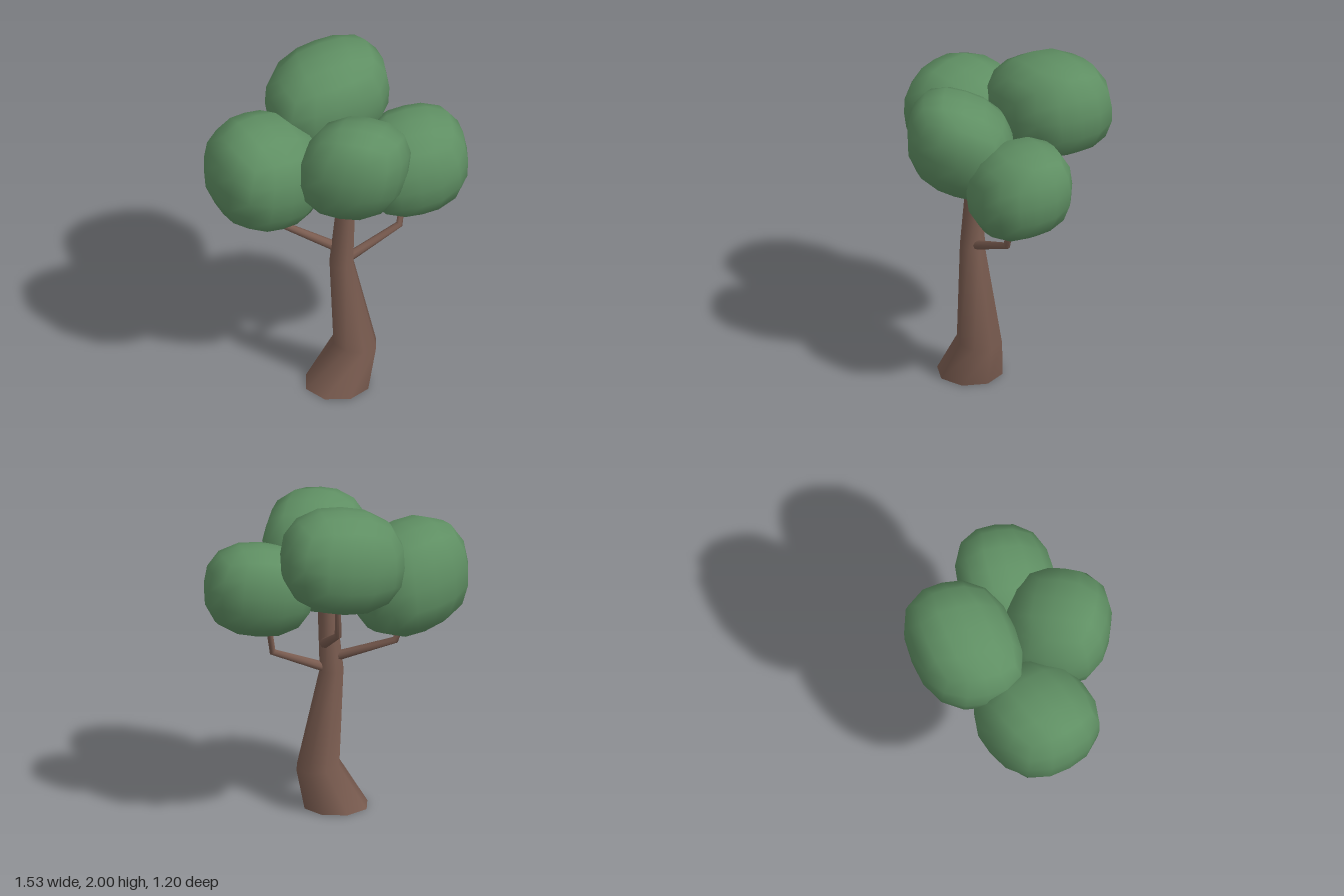
import * as THREE from 'three';
import { mergeVertices, toCreasedNormals } from 'three/addons/utils/BufferGeometryUtils.js';

const V = (p) => new THREE.Vector3(...p);

// Tapered limb: rings mitred along a path, open at the root, capped at the tip
function limbGeometry(points, radii, sides, startNormal) {
  const pts = points.map(V);
  const dirs = pts.slice(1).map((p, i) => p.clone().sub(pts[i]).normalize());
  const pos = [], index = [];
  pts.forEach((p, i) => {
    const n = new THREE.Vector3();
    if (i === 0 && startNormal) n.copy(startNormal);
    else {
      if (i > 0) n.add(dirs[i - 1]);
      if (i < dirs.length) n.add(dirs[i]);
    }
    n.normalize();
    const q = new THREE.Quaternion().setFromUnitVectors(new THREE.Vector3(0, 1, 0), n);
    for (let s = 0; s < sides; s++) {
      const a = (s / sides) * Math.PI * 2;
      const v = new THREE.Vector3(Math.cos(a), 0, Math.sin(a)).multiplyScalar(radii[i]);
      pos.push(...v.applyQuaternion(q).add(p).toArray());
    }
  });
  for (let i = 0; i < dirs.length; i++) {
    for (let s = 0; s < sides; s++) {
      const a = i * sides + s, b = i * sides + (s + 1) % sides;
      index.push(a, a + sides, b, b, a + sides, b + sides);
    }
  }
  const last = dirs.length * sides;
  for (let s = 1; s < sides - 1; s++) index.push(last, last + s + 1, last + s);
  const g = new THREE.BufferGeometry();
  g.setAttribute('position', new THREE.Float32BufferAttribute(pos, 3));
  g.setIndex(index);
  return toCreasedNormals(g, 1.1);
}

// Foliage: a cube swollen towards a sphere, turned, skewed, then sized to its box
function foliageGeometry({ min, max, turn, skew: [xy, yz, xz] }) {
  let g = new THREE.BoxGeometry(2, 2, 2, 4, 4, 4);
  g.deleteAttribute('uv');
  g.deleteAttribute('normal');
  g = mergeVertices(g);
  const p = g.attributes.position, power = 2.5;
  for (let i = 0; i < p.count; i++) {
    const v = new THREE.Vector3().fromBufferAttribute(p, i);
    v.set(...v.toArray().map((c) => Math.tan(c * Math.PI / 4)));
    const len = v.toArray().reduce((sum, c) => sum + Math.abs(c) ** power, 0) ** (1 / power);
    v.divideScalar(len);
    p.setXYZ(i, v.x, v.y, v.z);
  }
  g.rotateX(turn[0]).rotateY(turn[1]).rotateZ(turn[2]);
  g.applyMatrix4(new THREE.Matrix4().set(1, xy, xz, 0, xy, 1, yz, 0, xz, yz, 1, 0, 0, 0, 0, 1));
  g.center();
  const size = g.boundingBox.getSize(new THREE.Vector3());
  const box = new THREE.Box3(V(min), V(max));
  const want = box.getSize(new THREE.Vector3()).divide(size);
  g.scale(want.x, want.y, want.z);
  g.translate(...box.getCenter(new THREE.Vector3()).toArray());
  g.computeVertexNormals();
  return g;
}

export function createModel() {
  const tree = new THREE.Group();
  tree.name = 'tree';
  const bark = new THREE.MeshStandardMaterial({ color: 0x7a5c50, side: THREE.DoubleSide });
  const leaf = new THREE.MeshStandardMaterial({ color: 0x5f8f63 });
  const add = (name, geometry, material) => {
    const mesh = new THREE.Mesh(geometry, material);
    mesh.name = name;
    tree.add(mesh);
  };

  // Bent trunk, flat on the ground
  add('trunk', limbGeometry(
    [[-0.055, 0, 0.17], [0.055, 0.26, 0.173], [-0.028, 0.84, 0.17], [0.003, 1.26, 0.17]],
    [0.195, 0.135, 0.074, 0.056], 8, new THREE.Vector3(0, 1, 0)), bark);

  // Branches, each with one elbow
  const branches = {
    rightBranch: [[-0.02, 0.92, 0.16], [-0.34, 1.06, -0.05], [-0.37, 1.16, -0.07]],
    leftBranch: [[-0.01, 0.85, 0.175], [0.34, 1.0, 0.165], [0.37, 1.17, 0.15]],
    backBranch: [[0.03, 1.025, 0.13], [0.08, 1.2, -0.22], [0.09, 1.41, -0.245]],
  };
  for (const [name, path] of Object.entries(branches)) {
    add(name, limbGeometry(path, [0.03, 0.021, 0.018], 8), bark);
  }

  // Four foliage clumps
  const clumps = {
    rightFoliage: { min: [-0.77, 1.11, -0.39], max: [-0.08, 1.78, 0.29],
      turn: [0.1, 0.2, -0.1], skew: [-0.06, 0, -0.04] },
    frontFoliage: { min: [-0.33, 1.215, -0.05], max: [0.35, 1.89, 0.6],
      turn: [-0.1, -0.65, -0.15], skew: [0, 0.12, 0] },
    leftFoliage: { min: [0.11, 1.125, -0.15], max: [0.765, 1.695, 0.43],
      turn: [0.05, -0.2, 0.1], skew: [0.05, -0.06, 0] },
    backFoliage: { min: [-0.295, 1.38, -0.6], max: [0.455, 2.0, 0.015],
      turn: [0.05, -0.08, 0.12], skew: [0.06, 0, -0.05] },
  };
  for (const [name, clump] of Object.entries(clumps)) {
    add(name, foliageGeometry(clump), leaf);
  }
  return tree;
}
